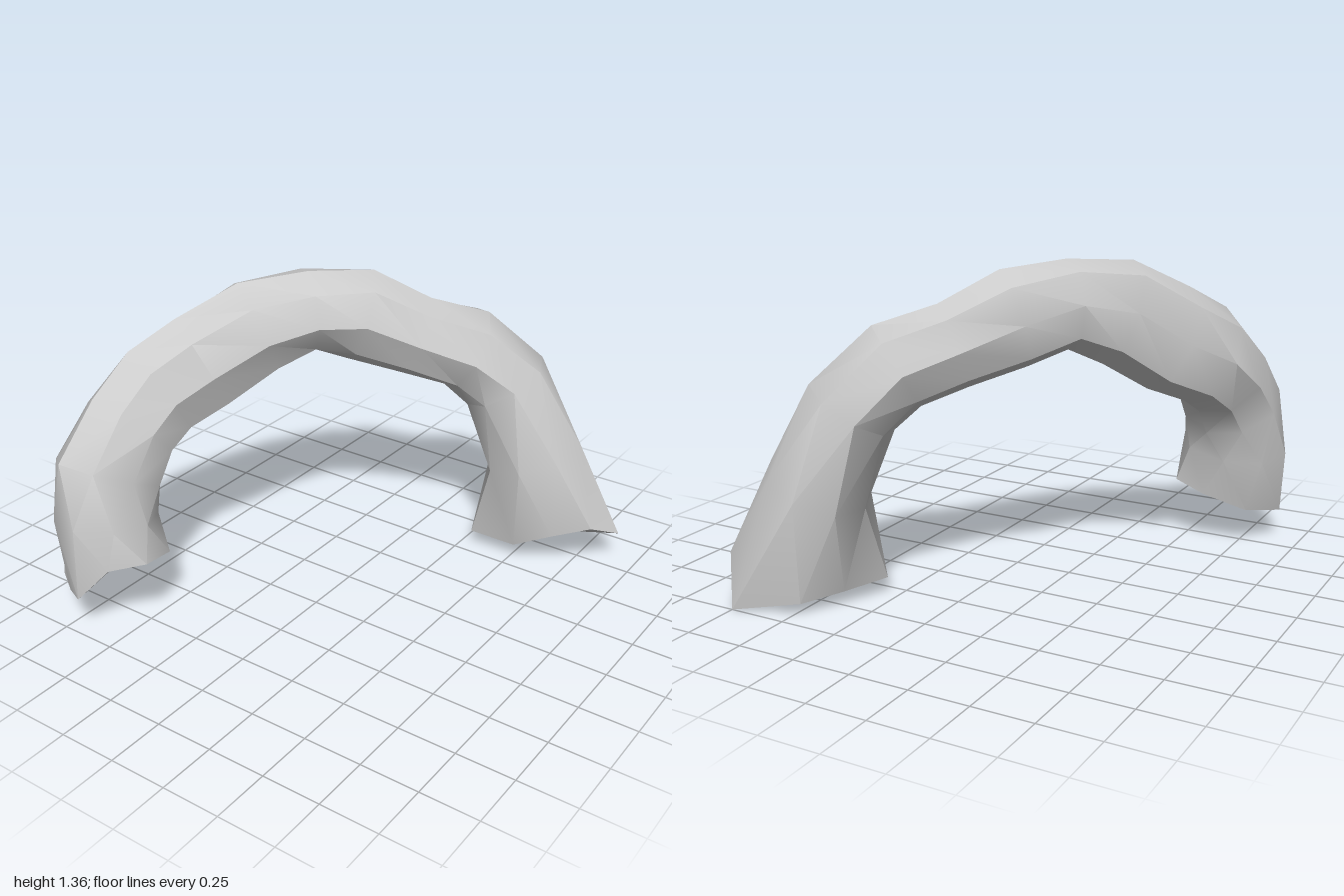
import * as THREE from 'three';
import { toCreasedNormals } from 'three/addons/utils/BufferGeometryUtils.js';

const SIDES = 8;
const V = (x, y, z) => new THREE.Vector3(x, y, z);

// Spine stations: centre x, y, z, outward radius, sideways radius, twist
const stations = [
  [-0.69, 0.45, 0.78, 0.21, 0.24, 0.4],
  [-0.70, 0.64, 0.74, 0.23, 0.20, 0.1],
  [-0.69, 0.80, 0.60, 0.205, 0.20, 0],
  [-0.66, 0.91, 0.45, 0.22, 0.19, 0],
  [-0.56, 1.00, 0.28, 0.23, 0.18, 0],
  [-0.42, 1.13, 0.08, 0.22, 0.17, 0.1],
  [-0.28, 1.18, -0.10, 0.18, 0.18, 0.12],
  [-0.13, 1.14, -0.27, 0.205, 0.18, 0],
  [0.06, 1.04, -0.42, 0.18, 0.17, 0],
  [0.23, 0.97, -0.57, 0.19, 0.22, 0],
  [0.37, 0.81, -0.68, 0.195, 0.21, -0.1],
  [0.51, 0.48, -0.72, 0.22, 0.26, -0.4],
];

// Broken end outlines, walked in the same order as every ring
const startFoot = [
  [-0.52, 0.33, 0.95], [-0.42, 0.34, 0.83], [-0.48, 0.28, 0.63], [-0.62, 0.24, 0.6],
  [-0.8, 0.17, 0.67], [-0.9, 0.135, 0.85], [-0.78, 0.135, 0.93], [-0.66, 0.17, 1.0],
].map((p) => V(...p));
const endFoot = [
  [0.75, 0, -1.0], [0.92, 0.15, -0.8], [0.85, 0.22, -0.65], [0.7, 0.17, -0.57],
  [0.52, 0.07, -0.56], [0.3, 0.07, -0.56], [0.38, 0.06, -0.75], [0.47, 0.05, -0.92],
].map((p) => V(...p));

const average = (ring) => ring.reduce((sum, p) => sum.add(p), V(0, 0, 0)).divideScalar(ring.length);

// Uneven octagon set across the spine
function makeRing(i, centres) {
  const [, , , outward, sideways, twist] = stations[i];
  const t = centres[i + 2].clone().sub(centres[i]).normalize();
  const side = V(0.95, 0, 0.3).lerp(V(0.55, 0, 0.83), i / (stations.length - 1));
  side.addScaledVector(t, -side.dot(t)).normalize();
  const out = side.clone().cross(t);
  return Array.from({ length: SIDES }, (_, k) => {
    const a = (k / SIDES) * Math.PI * 2 + twist;
    const bump = 1 + 0.03 * Math.sin(k * 2.4 + i * 0.5);
    return centres[i + 1].clone()
      .addScaledVector(out, Math.cos(a) * outward * bump)
      .addScaledVector(side, Math.sin(a) * sideways * bump);
  });
}

export function createModel() {
  const centres = [average(startFoot), ...stations.map(([x, y, z]) => V(x, y, z)), average(endFoot)];
  const rings = [startFoot, ...stations.map((_, i) => makeRing(i, centres)), endFoot];
  const positions = [];
  const triangle = (...corners) => corners.forEach((p) => positions.push(p.x, p.y, p.z));

  // Skin between neighbouring rings, then the two end faces
  for (let k = 0; k < SIDES; k++) {
    const n = (k + 1) % SIDES;
    for (let i = 0; i < rings.length - 1; i++) {
      triangle(rings[i][k], rings[i][n], rings[i + 1][n]);
      triangle(rings[i][k], rings[i + 1][n], rings[i + 1][k]);
    }
    triangle(centres[0], startFoot[n], startFoot[k]);
    triangle(centres.at(-1), endFoot[k], endFoot[n]);
  }

  const geometry = new THREE.BufferGeometry();
  geometry.setAttribute('position', new THREE.Float32BufferAttribute(positions, 3));
  const arch = new THREE.Mesh(
    toCreasedNormals(geometry, 0.65),
    new THREE.MeshStandardMaterial({ color: 0xcccccc }),
  );
  arch.name = 'rockArch';

  const group = new THREE.Group();
  group.name = 'naturalArch';
  group.add(arch);
  return group;
}
